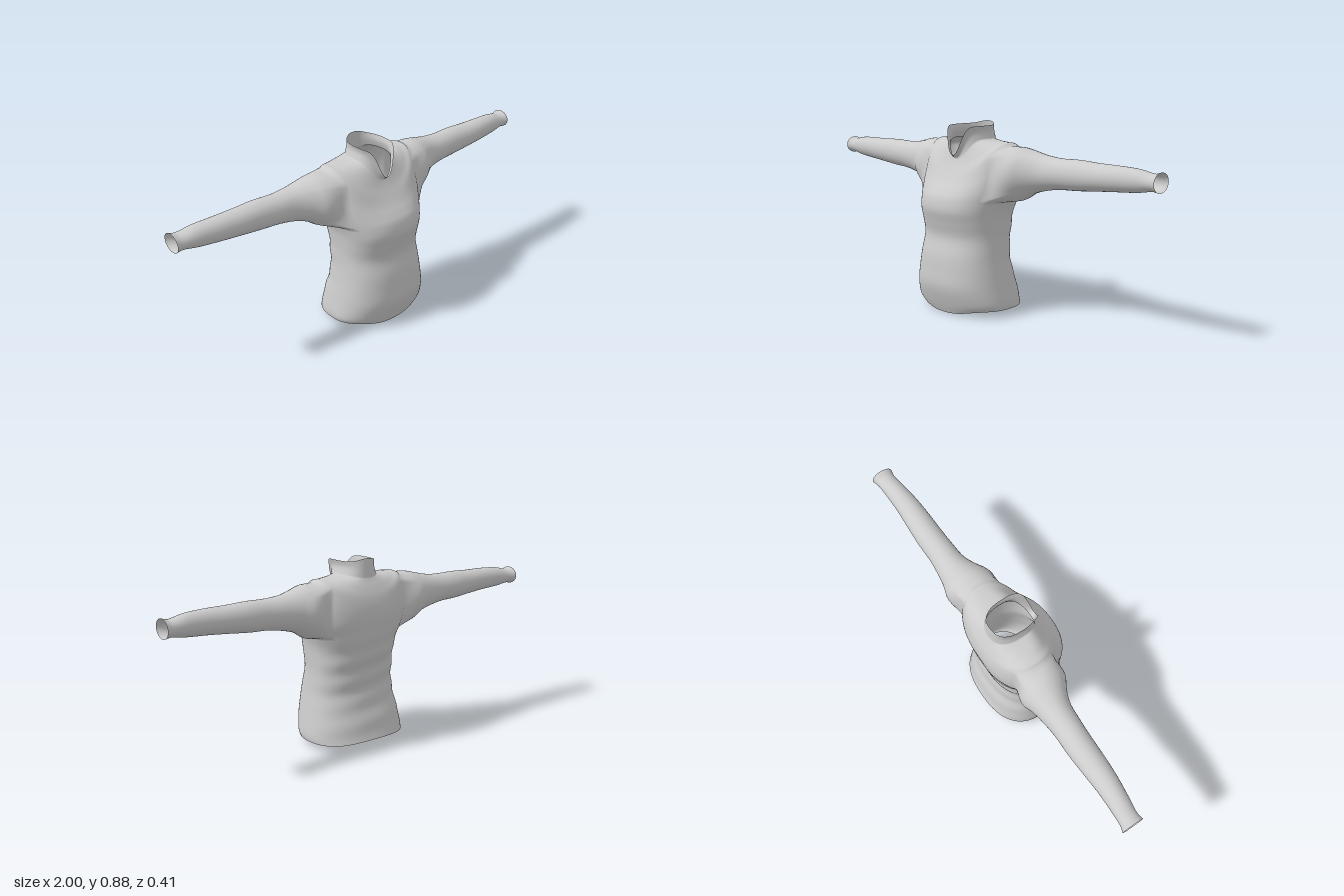
import * as THREE from 'three';

const COLS = 64, STEPS = 5, HALF_HOLE = 6;

// Ring rows: yFront, ySide, yBack, halfWidth, zFront, zBack, zSide, sharpness of the front/back height change
const TORSO = [
  [0.00, 0.03, 0.04, 0.253, 0.163, -0.205, -0.01, 6],
  [0.05, 0.06, 0.07, 0.255, 0.184, -0.196, 0, 4],
  [0.13, 0.13, 0.13, 0.243, 0.207, -0.181, 0, 2],
  [0.21, 0.21, 0.21, 0.228, 0.204, -0.157, 0.01, 2],
  [0.28, 0.28, 0.28, 0.217, 0.196, -0.149, 0.01, 2],
  [0.36, 0.36, 0.36, 0.211, 0.178, -0.155, 0, 2],
  [0.43, 0.43, 0.43, 0.212, 0.192, -0.168, 0, 2],
  [0.49, 0.485, 0.49, 0.217, 0.207, -0.180, -0.01, 2],
  [0.545, 0.53, 0.55, 0.230, 0.198, -0.190, -0.03, 2], // armpit
  [0.58, 0.59, 0.61, 0.247, 0.176, -0.197, -0.05, 2],
  [0.615, 0.68, 0.665, 0.252, 0.147, -0.195, -0.055, 2],
  [0.65, 0.785, 0.715, 0.232, 0.122, -0.182, -0.05, 2], // shoulder point
  [0.68, 0.797, 0.755, 0.185, 0.103, -0.163, -0.045, 2],
  [0.70, 0.80, 0.78, 0.130, 0.092, -0.148, -0.04, 2.5],
  [0.715, 0.805, 0.795, 0.090, 0.085, -0.140, -0.03, 3],
];
const ARMPIT = 8 * STEPS, SHOULDER = 11 * STEPS;

// Collar rows leave a V notch at the front
const COLLAR = [
  TORSO[TORSO.length - 1],
  [0.722, 0.84, 0.84, 0.079, 0.086, -0.136, -0.025, 4.5],
  [0.735, 0.868, 0.882, 0.084, 0.104, -0.131, -0.015, 6],
];

// Sleeve stations: x, yTop, yBottom, zFront, zBack
const SLEEVE = [
  [0.30, 0.783, 0.542, 0.065, -0.167],
  [0.36, 0.770, 0.578, 0.030, -0.152],
  [0.42, 0.757, 0.597, 0.005, -0.142],
  [0.50, 0.750, 0.612, -0.004, -0.135],
  [0.60, 0.752, 0.618, -0.010, -0.136],
  [0.70, 0.748, 0.628, -0.013, -0.132],
  [0.80, 0.747, 0.637, -0.020, -0.127],
  [0.90, 0.742, 0.645, -0.033, -0.128],
  [0.97, 0.729, 0.656, -0.042, -0.132],
  [1.00, 0.737, 0.652, -0.037, -0.141],
];

// Smoothly samples a table of rows
function sampleRows(rows) {
  const out = [], last = rows.length - 1;
  const at = (i) => rows[Math.min(last, Math.max(0, i))];
  for (let k = 0; k <= last * STEPS; k++) {
    const i = Math.min(last - 1, Math.floor(k / STEPS)), t = k / STEPS - i;
    out.push(at(i).map((b, c) => {
      const a = at(i - 1)[c], d = at(i + 1)[c], e = at(i + 2)[c];
      return b + 0.5 * t * (d - a + t * (2 * a - 5 * b + 4 * d - e + t * (3 * (b - d) + e - a)));
    }));
  }
  return out;
}

// One point on a ring, with a rounded-box outline
function ringPoint([yf, ys, yb, w, zf, zb, zm, p], j) {
  const a = (j / COLS) * Math.PI * 2, c = Math.cos(a), s = Math.sin(a);
  const round = (v) => Math.sign(v) * Math.pow(Math.abs(v), 0.82);
  const y = ys + ((s > 0 ? yf : yb) - ys) * Math.pow(Math.abs(s), p);
  const x = w * round(c);
  const z = zm + round(s) * (s > 0 ? zf - zm : zm - zb);
  // shallow cloth folds, strongest over the back of the waist
  const fold = 0.003 * Math.sin(y * 62 + x * 9) * Math.exp(-(((y - 0.32) / 0.2) ** 2)) * Math.max(0, 0.3 - s);
  return [x * (1 + fold * 2), y, z + fold * Math.sign(s)];
}

export function createModel() {
  const group = new THREE.Group();
  const positions = [];
  const parts = { torso: [], collar: [], leftSleeve: [], rightSleeve: [] };
  const addPoint = (p) => positions.push(...p) / 3 - 1;
  const pointAt = (i) => new THREE.Vector3().fromArray(positions, i * 3);

  // Joins neighbouring rings of vertex numbers, leaving out skipped cells
  function skin(rings, index, skip = () => false) {
    for (let i = 0; i < rings.length - 1; i++) {
      const lo = rings[i], hi = rings[i + 1], n = lo.length;
      for (let j = 0; j < n; j++) {
        if (skip(i, j)) continue;
        const k = (j + 1) % n;
        index.push(lo[j], hi[j], hi[k], lo[j], hi[k], lo[k]);
      }
    }
  }
  const makeRing = (row) => Array.from({ length: COLS }, (_, j) => addPoint(ringPoint(row, j)));

  // Torso with two armholes
  const torso = sampleRows(TORSO).map(makeRing);
  const inHole = (i, j) => {
    const q = (j + HALF_HOLE) % (COLS / 2);
    return i >= ARMPIT && i < SHOULDER && q < 2 * HALF_HOLE;
  };
  skin(torso, parts.torso, inHole);

  // Collar grows out of the neckline
  const collar = sampleRows(COLLAR).slice(1).map(makeRing);
  skin([torso[torso.length - 1], ...collar], parts.collar);

  // Sleeves grow out of the armhole edges
  for (const side of [1, -1]) {
    const mid = side > 0 ? COLS : COLS / 2;
    const cell = (i, j) => torso[i][(mid + j) % COLS];
    const edge = [];
    for (let j = -HALF_HOLE; j < HALF_HOLE; j++) edge.push(cell(ARMPIT, j));
    for (let i = ARMPIT; i < SHOULDER; i++) edge.push(cell(i, HALF_HOLE));
    for (let j = HALF_HOLE; j > -HALF_HOLE; j--) edge.push(cell(SHOULDER, j));
    for (let i = SHOULDER; i > ARMPIT; i--) edge.push(cell(i, -HALF_HOLE));

    const box = new THREE.Box3().setFromPoints(edge.map(pointAt));
    const centre = box.getCenter(new THREE.Vector3()), size = box.getSize(new THREE.Vector3());
    const count = SLEEVE.length * 4;
    const rings = [edge, ...Array.from({ length: count }, () => [])];
    for (const v of edge) {
      const p = pointAt(v);
      const a = Math.atan2((p.y - centre.y) / size.y, (p.z - centre.z) / size.z);
      const path = [p, ...SLEEVE.map(([x, top, bottom, zf, zb]) => new THREE.Vector3(
        side * x,
        (top + bottom) / 2 + Math.sin(a) * (top - bottom) / 2,
        (zf + zb) / 2 + Math.cos(a) * (zf - zb) / 2))];
      const curve = new THREE.CatmullRomCurve3(path);
      for (let k = 1; k <= count; k++) rings[k].push(addPoint(curve.getPoint(k / count).toArray()));
    }
    skin(rings, side > 0 ? parts.leftSleeve : parts.rightSleeve);
  }

  // Shared normals keep the seams between parts smooth
  const whole = new THREE.BufferGeometry();
  whole.setAttribute('position', new THREE.Float32BufferAttribute(positions, 3));
  whole.setIndex(Object.values(parts).flat());
  whole.computeVertexNormals();

  const cloth = new THREE.MeshStandardMaterial({ color: 0xcccccc, side: THREE.DoubleSide });
  for (const [name, index] of Object.entries(parts)) {
    whole.setIndex(index);
    const mesh = new THREE.Mesh(whole.toNonIndexed(), cloth);
    mesh.name = name;
    group.add(mesh);
  }
  return group;
}
